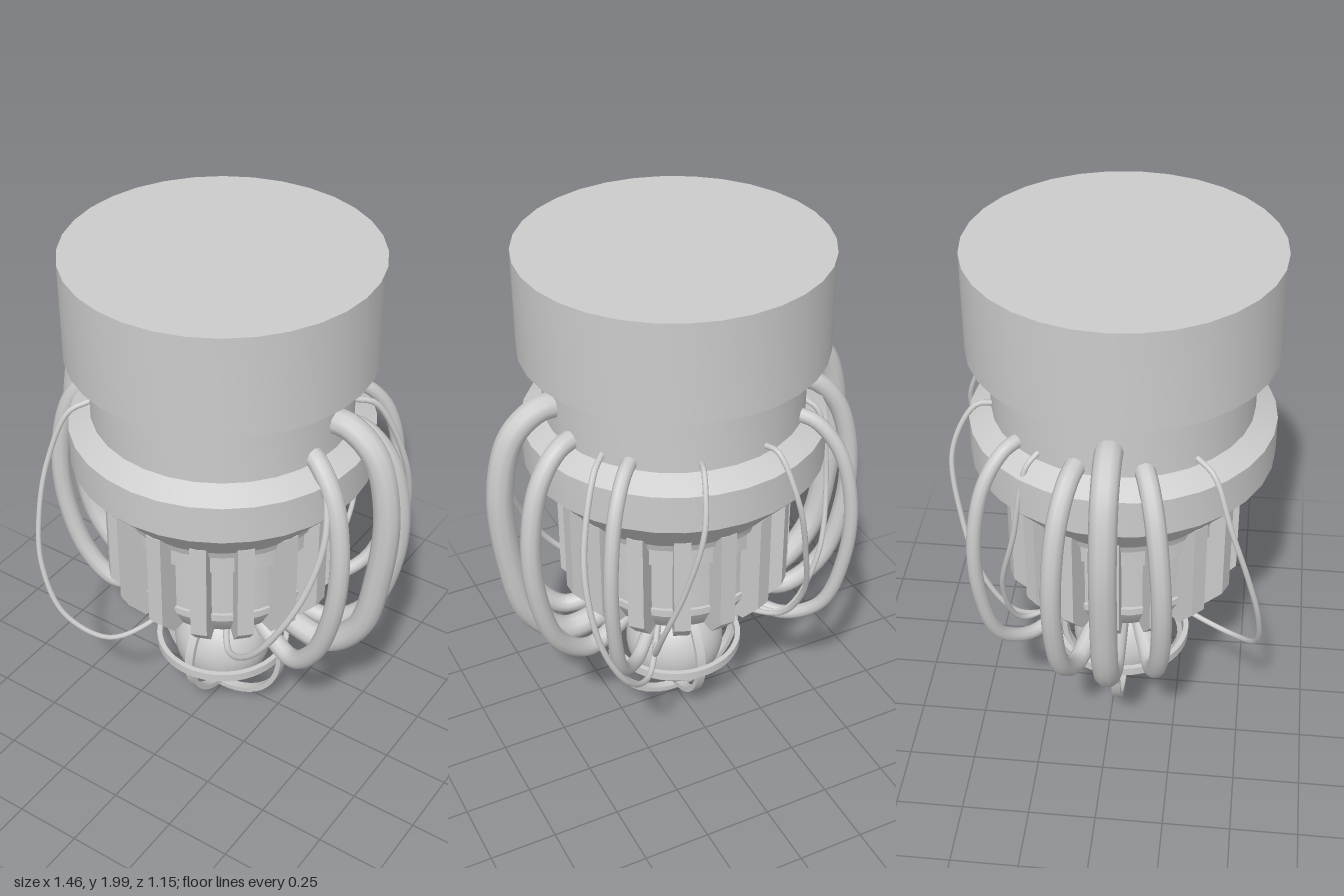
import * as THREE from 'three';
import { toCreasedNormals } from 'three/addons/utils/BufferGeometryUtils.js';

const AXIS_Z = 0.025; // the turned body sits slightly forward of the cables' extent
const material = new THREE.MeshStandardMaterial({ color: 0xcccccc });

function addMesh(parent, name, geometry) {
  const mesh = new THREE.Mesh(geometry, material);
  mesh.name = name;
  parent.add(mesh);
  return mesh;
}

// Turned solid; profile runs from the bottom centre to the top centre
function lathe(profile, segments = 32) {
  const points = profile.map(([r, y]) => new THREE.Vector2(r, y));
  return toCreasedNormals(new THREE.LatheGeometry(points, segments), 0.4);
}

// Flat hoop with a rectangular section, lying in the xz plane
function hoop(radius, width = 0.034, depth = 0.02) {
  const a = radius - depth, h = width / 2;
  return lathe([[a, -h], [radius, -h], [radius, h], [a, h], [a, -h]], 48);
}

function cable(parent, name, points, radius) {
  const curve = new THREE.CatmullRomCurve3(points.map((p) => new THREE.Vector3(...p)));
  return addMesh(parent, name, new THREE.TubeGeometry(curve, 56, radius, 10));
}

// Cable described by [radius, height] pairs, swept round the axis from angle a0 to a1
// (degrees from the +x side, positive towards the back)
function radialCable(parent, name, path, a0, a1, side, radius) {
  const points = path.map(([r, y], i) => {
    const a = THREE.MathUtils.degToRad(a0 + (a1 - a0) * i / (path.length - 1));
    return [side * r * Math.cos(a), y, AXIS_Z - r * Math.sin(a)];
  });
  cable(parent, name, points, radius);
}

const mirrorX = (points) => points.map(([x, y, z]) => [-x, y, z]);

export function createModel() {
  const model = new THREE.Group();
  model.name = 'hangingDevice';

  const core = new THREE.Group();
  core.name = 'core';
  core.position.z = AXIS_Z;
  model.add(core);

  // Upper housing: cap, neck, collar and taper
  addMesh(core, 'upperHousing', lathe([
    [0, 1.0], [0.39, 1.0], [0.40, 1.03], [0.55, 1.2], [0.55, 1.345], [0.47, 1.39],
    [0.47, 1.59], [0.55, 1.63], [0.55, 2], [0, 2],
  ]));

  // Lower drum with upper band, thin rib and hollow tapered base
  addMesh(core, 'lowerDrum', lathe([
    [0, 0.57], [0.14, 0.57], [0.16, 0.505], [0.21, 0.505], [0.31, 0.59], [0.355, 0.67],
    [0.355, 0.69], [0.362, 0.69], [0.362, 0.705], [0.35, 0.705], [0.35, 0.92],
    [0.375, 0.92], [0.375, 1.03], [0, 1.03],
  ]));

  // Sixteen cooling fins around the drum
  const finShape = new THREE.Shape([
    [0.28, 0.59], [0.365, 0.59], [0.435, 0.67], [0.435, 1.068], [0.28, 1.068],
  ].map(([x, y]) => new THREE.Vector2(x, y)));
  const finGeometry = new THREE.ExtrudeGeometry(finShape, { depth: 0.06, bevelEnabled: false });
  finGeometry.translate(0, 0, -0.03);
  const fins = new THREE.Group();
  fins.name = 'fins';
  core.add(fins);
  for (let i = 0; i < 16; i++) {
    addMesh(fins, 'fin', finGeometry).rotation.y = (i * Math.PI) / 8;
  }

  // Ball caged by three hoops
  const cage = new THREE.Group();
  cage.name = 'ballCage';
  cage.position.y = 0.29;
  core.add(cage);
  addMesh(cage, 'ball', new THREE.SphereGeometry(0.192, 32, 24));
  addMesh(cage, 'levelHoop', hoop(0.262));
  addMesh(cage, 'frontHoop', hoop(0.28)).rotation.x = Math.PI / 2;
  addMesh(cage, 'sideHoop', hoop(0.24)).rotation.z = Math.PI / 2;

  // Heavy and medium cables, mirrored on both sides
  const cables = new THREE.Group();
  cables.name = 'cables';
  model.add(cables);
  const heavyPath = [[0.43, 1.495], [0.52, 1.49], [0.62, 1.41], [0.678, 1.2], [0.665, 0.9],
    [0.6, 0.63], [0.46, 0.495], [0.32, 0.515], [0.2, 0.57]];
  const backPath = [[0.43, 1.42], [0.52, 1.40], [0.61, 1.3], [0.665, 1.1], [0.66, 0.85],
    [0.58, 0.6], [0.44, 0.487], [0.32, 0.51], [0.2, 0.57]];
  const frontPath = backPath.map(([r, y]) => [r > 0.5 ? r - 0.03 : r, y]);
  const slimPath = backPath.map(([r, y]) => [r, y < 0.6 ? y + 0.03 : y]);
  for (const side of [1, -1]) {
    radialCable(cables, 'heavyCable', heavyPath, 0, 0, side, 0.048);
    radialCable(cables, 'mediumBackCable', backPath, 14, 18, side, 0.036);
    radialCable(cables, 'mediumFrontCable', frontPath, -14, -22, side, 0.036);
    radialCable(cables, 'slimBackCable', slimPath, 45, 45, side, 0.026);
  }

  // Thin wires: a mirrored pair at the back and four loose ones
  const backWire = [[0.12, 1.42, -0.42], [0.14, 1.42, -0.48], [0.18, 1.25, -0.565],
    [0.235, 1.0, -0.54], [0.285, 0.75, -0.46], [0.26, 0.57, -0.34], [0.18, 0.53, -0.2],
    [0.14, 0.56, -0.13]];
  cable(cables, 'backWireLeft', backWire, 0.01);
  cable(cables, 'backWireRight', mirrorX(backWire), 0.01);
  cable(cables, 'rearLeftWire', [[0.39, 1.42, -0.22], [0.45, 1.39, -0.28], [0.54, 1.1, -0.38],
    [0.52, 0.8, -0.45], [0.42, 0.59, -0.455], [0.3, 0.5, -0.37], [0.17, 0.56, -0.18]], 0.011);
  cable(cables, 'rearRightWire', [[-0.39, 1.42, -0.22], [-0.43, 1.38, -0.26], [-0.45, 1.1, -0.31],
    [-0.39, 0.8, -0.37], [-0.28, 0.56, -0.32], [-0.16, 0.56, -0.17]], 0.01);
  cable(cables, 'frontLeftWire', [[0.44, 1.42, 0.14], [0.5, 1.39, 0.17], [0.565, 1.2, 0.24],
    [0.545, 1.0, 0.3], [0.47, 0.8, 0.36], [0.35, 0.62, 0.37], [0.22, 0.525, 0.31],
    [0.13, 0.55, 0.2]], 0.012);
  cable(cables, 'frontRightWire', [[-0.37, 1.42, 0.31], [-0.42, 1.39, 0.37], [-0.475, 1.2, 0.44],
    [-0.48, 1.0, 0.505], [-0.45, 0.8, 0.55], [-0.36, 0.6, 0.55], [-0.22, 0.49, 0.47],
    [-0.14, 0.495, 0.33], [-0.1, 0.55, 0.2]], 0.01);

  return model;
}
